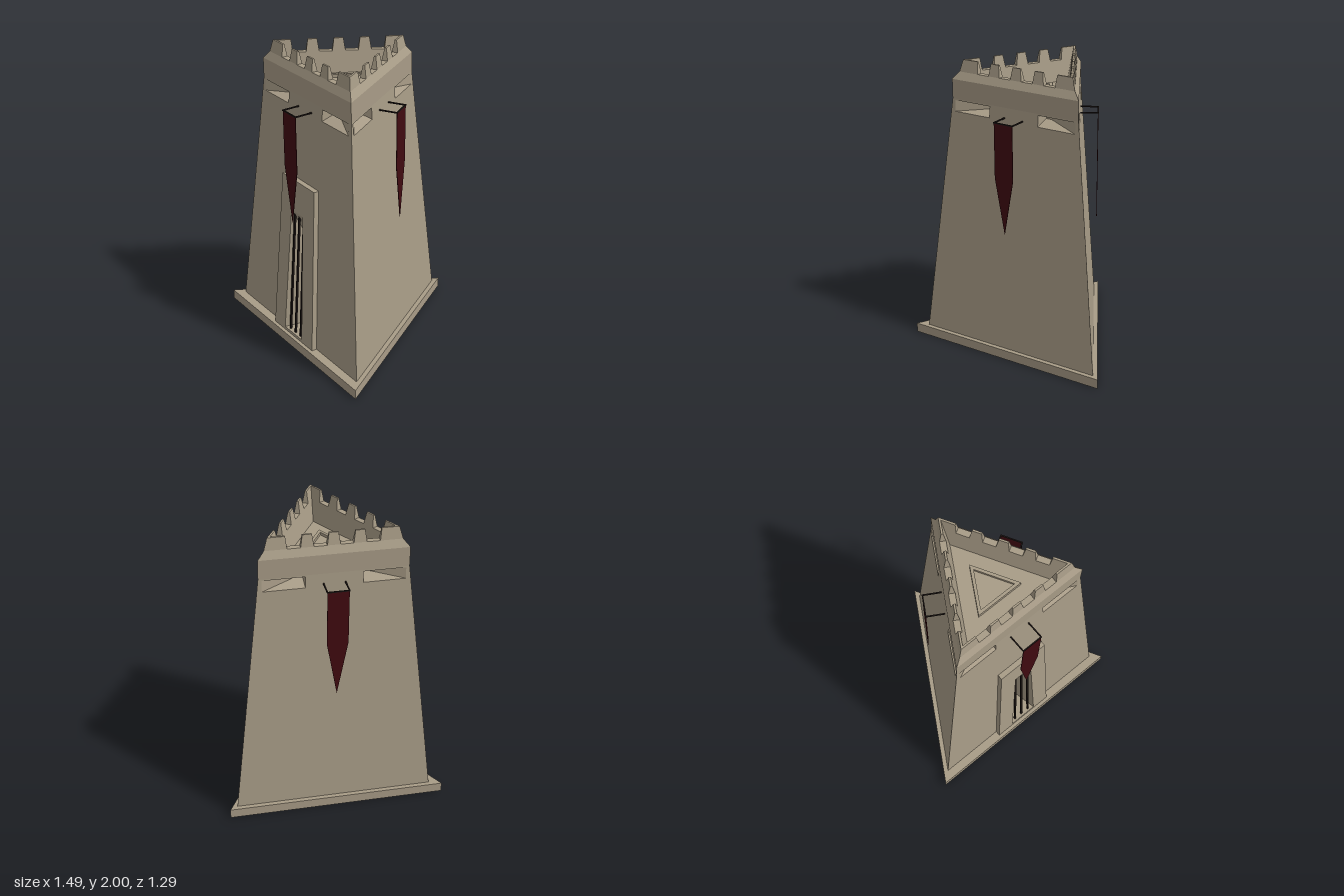
import * as THREE from 'three';

const K = Math.sqrt(3);
const stone = new THREE.MeshStandardMaterial({ color: 0xa89c87 });
stone.name = 'sandstone';
const cloth = new THREE.MeshStandardMaterial({ color: 0x400a10 });
cloth.name = 'dark red cloth';
const iron = new THREE.MeshStandardMaterial({ color: 0x1c1513 });
iron.name = 'black iron';

// distance of the sloping wall from the tower axis at height y
const wallR = y => 0.39 - 0.112 * (y - 0.065) / 1.675;
const onWall = (pts, out = 0) => pts.map(([x, y]) => [x, y, wallR(y) + out]);

function add(parent, name, geo, mat) {
  const m = new THREE.Mesh(geo, mat);
  m.name = name;
  parent.add(m);
  return m;
}

// flat-shaded mesh from counter-clockwise quads
function quads(list) {
  const p = [];
  for (const [a, b, c, d] of list) p.push(...a, ...b, ...c, ...a, ...c, ...d);
  const g = new THREE.BufferGeometry();
  g.setAttribute('position', new THREE.Float32BufferAttribute(p, 3));
  g.computeVertexNormals();
  return g;
}

// quads joining a front loop to a back loop, seen from inside
const tunnel = (f, b) => f.map((p, i) => {
  const j = (i + 1) % f.length;
  return [p, f[j], b[j], b[i]];
});

// sloping plate with holes, lying on the wall plane
function plate(outline, holes, out) {
  const v = l => l.map(([x, y]) => new THREE.Vector2(x, y));
  const s = new THREE.Shape(v(outline));
  for (const h of holes) s.holes.push(new THREE.Path(v(h)));
  const g = new THREE.ShapeGeometry(s);
  const p = g.attributes.position;
  for (let i = 0; i < p.count; i++) p.setZ(i, wallR(p.getY(i)) + out);
  g.computeVertexNormals();
  return g;
}

// one side's share of a triangular ring between two profile points
const band = ([r1, y1], [r2, y2]) =>
  [[-r1 * K, y1, r1], [r1 * K, y1, r1], [r2 * K, y2, r2], [-r2 * K, y2, r2]];

const flip = pts => pts.map(([x, ...r]) => [-x, ...r]).reverse();
const slit = [[0.185, 1.655], [0.46, 1.655], [0.46, 1.73], [0.185, 1.73]];
const slitBack = [[0.185, 1.685], [0.225, 1.685], [0.225, 1.7], [0.185, 1.7]];
const door = [[-0.1, 0.085], [0.1, 0.085], [0.065, 0.975], [-0.065, 0.975]];
const doorBack = [[-0.04, 0.085, 0.16], [0.04, 0.085, 0.16], [0.04, 0.55, 0.16], [-0.04, 0.55, 0.16]];
const frame = [[-0.225, 0.065], [0.225, 0.065], [0.18, 1.19], [-0.18, 1.19]];

// merlon block; corners run outer-left, outer-right, inner-right, inner-left
function block(b, t) {
  const low = b.map(([x, r]) => [x, 1.92, r]), top = t.map(([x, r]) => [x, 2, r]);
  return [top, ...low.map((p, i) => {
    const j = (i + 1) % 4;
    return [p, low[j], top[j], top[i]];
  })];
}

function buildSide(isFront) {
  const side = new THREE.Group();

  // wall with funnel-shaped arrow slits
  const holes = [slit, flip(slit)];
  if (isFront) holes.push(door);
  const b = wallR(0.065) * K, t = wallR(1.74) * K;
  add(side, 'wall', plate([[-b, 0.065], [b, 0.065], [t, 1.74], [-t, 1.74]], holes, 0), stone);
  const f = onWall(slit), k = onWall(slitBack, -0.1);
  const slitQuads = [...tunnel(f, k), k, ...tunnel(flip(f), flip(k)), flip(k)];
  add(side, 'arrowSlits', quads(slitQuads), stone);

  // parapet, roof floor and raised triangular hatch
  const profile = [[0.278, 1.74], [0.278, 1.87], [0.253, 1.92], [0.213, 1.92], [0.1875, 1.78],
    [0.095, 1.78], [0.095, 1.81], [0.075, 1.81], [0.075, 1.79], [0, 1.79]];
  add(side, 'parapetAndRoof', quads(profile.slice(1).map((p, i) => band(profile[i], p))), stone);

  // merlons: three along the side, half a corner merlon at each end
  const merlons = [];
  for (const x of [-0.167, 0, 0.167]) {
    const ring = (w, o, n) => [[x - w, o], [x + w, o], [x + w, n], [x - w, n]];
    merlons.push(...block(ring(0.042, 0.253, 0.213), ring(0.03, 0.24, 0.2275)));
  }
  const cb = [[0.293, 0.253], [0.253 * K, 0.253], [0.213 * K, 0.213], [0.293, 0.213]];
  const ct = [[0.303, 0.24], [0.24 * K, 0.24], [0.2275 * K, 0.2275], [0.303, 0.2275]];
  const corner = block(cb, ct);
  merlons.push(...corner, ...corner.map(flip));
  add(side, 'merlons', quads(merlons), stone);

  // pointed banner on an iron bracket
  const s = new THREE.Shape([[-0.07, 1.67], [-0.07, 1.3], [0, 0.92], [0.07, 1.3], [0.07, 1.67]]
    .map(([x, y]) => new THREE.Vector2(x, y)));
  const cg = new THREE.ExtrudeGeometry(s, { depth: 0.004, bevelEnabled: false });
  add(side, 'banner', cg, cloth).position.z = 0.397;
  for (const x of [-0.07, 0.07]) {
    add(side, 'bannerArm', new THREE.BoxGeometry(0.008, 0.008, 0.135), iron).position.set(x, 1.672, 0.336);
  }
  add(side, 'bannerRod', new THREE.BoxGeometry(0.148, 0.008, 0.008), iron).position.set(0, 1.672, 0.399);
  return side;
}

function buildDoor() {
  const g = new THREE.Group();
  g.name = 'doorway';
  add(g, 'doorFrame', plate(frame, [door], 0.035), stone);
  const edge = tunnel(onWall(frame, 0.035).reverse(), onWall(frame).reverse());
  add(g, 'doorFrameEdge', quads(edge), stone);
  add(g, 'doorRecess', quads([...tunnel(onWall(door, 0.035), doorBack), doorBack]), stone);

  // iron bars leaning with the wall
  for (const i of [-1, 0, 1]) {
    const a = new THREE.Vector3(i * 0.06, 0.085, wallR(0.085) + 0.015);
    const c = new THREE.Vector3(i * 0.05, 0.975, wallR(0.975) + 0.015);
    const bar = add(g, 'doorBar', new THREE.BoxGeometry(0.012, a.distanceTo(c), 0.012), iron);
    bar.position.copy(a).lerp(c, 0.5);
    bar.quaternion.setFromUnitVectors(new THREE.Vector3(0, 1, 0), c.sub(a).normalize());
  }
  return g;
}

export function createModel() {
  const model = new THREE.Group();
  model.name = 'triangularTower';

  // base slab
  const slab = new THREE.CylinderGeometry(0.86, 0.86, 0.066, 3, 1, false, Math.PI).toNonIndexed();
  slab.computeVertexNormals();
  add(model, 'baseSlab', slab, stone).position.set(0, 0.033, 0.215);

  // three equal sides around the tower axis
  const tower = new THREE.Group();
  tower.name = 'tower';
  tower.position.z = 0.196;
  ['frontSide', 'leftSide', 'rightSide'].forEach((name, i) => {
    const side = buildSide(i === 0);
    side.name = name;
    side.rotation.y = i * Math.PI * 2 / 3;
    tower.add(side);
  });
  tower.add(buildDoor());
  model.add(tower);
  return model;
}
